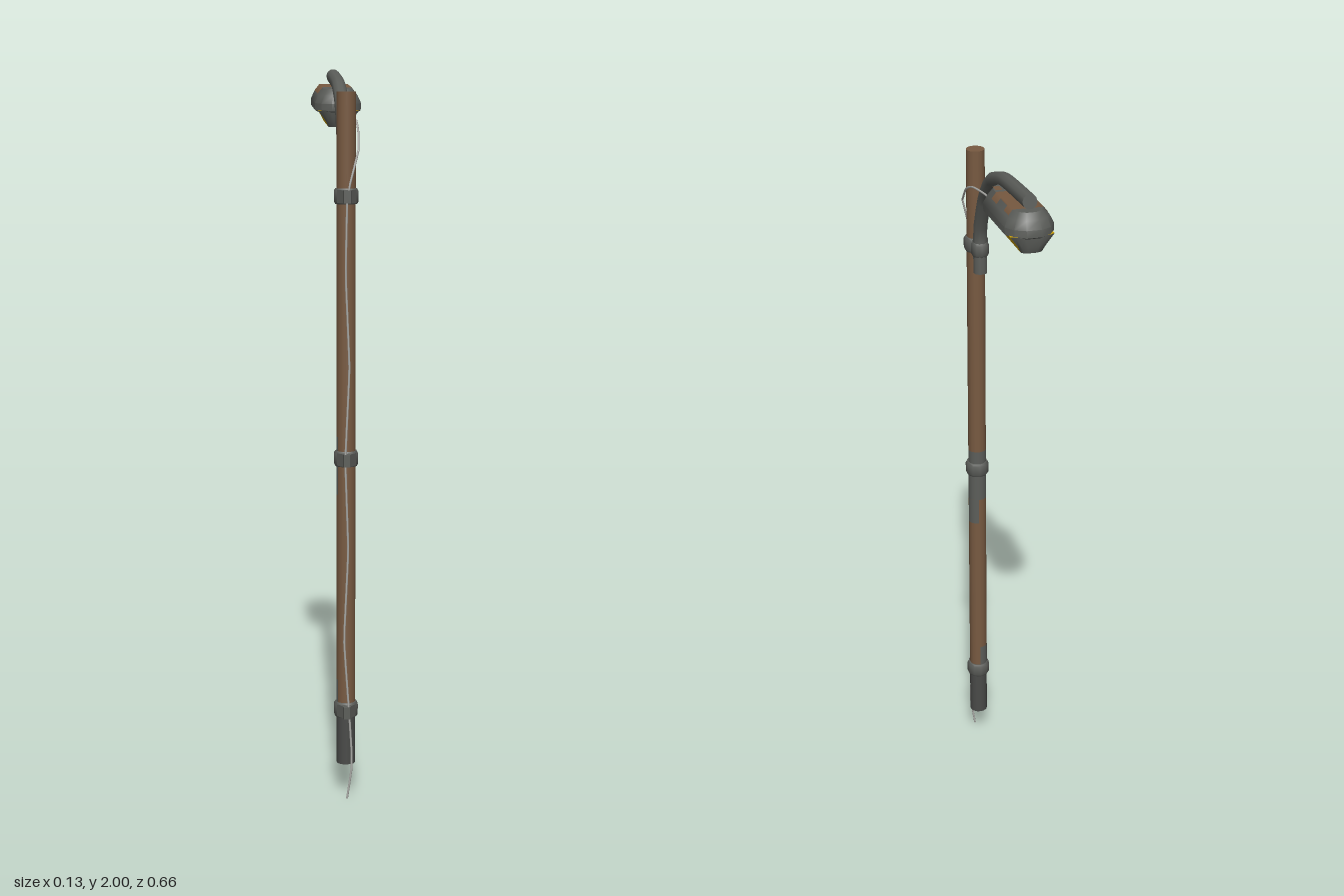
import * as THREE from 'three';
import { toCreasedNormals } from 'three/addons/utils/BufferGeometryUtils.js';

const mat = (name, color, side = THREE.FrontSide) => {
  const m = new THREE.MeshStandardMaterial({ color, side });
  m.name = name;
  return m;
};

export function createModel() {
  const root = new THREE.Group();
  root.name = 'streetLamp';
  const grey = mat('weathered grey metal', 0x5c5e5a);
  const rust = mat('rusty brown', 0x785a41, THREE.DoubleSide);
  const dark = mat('dark metal', 0x4a4b49);
  const yellow = mat('amber glass', 0xcfa305);
  const pale = mat('worn cable', 0xb0b0ac);

  const add = (parent, name, geo, material, x = 0, y = 0, z = 0) => {
    const m = new THREE.Mesh(geo, material);
    m.name = name;
    m.position.set(x, y, z);
    parent.add(m);
    return m;
  };
  const v = (x, y, z) => new THREE.Vector3(x, y, z);
  const POLE_Z = 0.272;

  // Pole: dark foot and rusted shaft
  [
    ['poleBase', 0.09, 0.245, dark],
    ['poleShaft', 0.245, 1.935, rust],
  ].forEach(([name, y0, y1, m]) =>
    add(root, name, new THREE.CylinderGeometry(0.026, 0.026, y1 - y0, 14), m, 0, (y0 + y1) / 2, POLE_Z));

  // Bare grey patches wrapped part way round the shaft
  [
    [0.25, 0.33, Math.PI, 2.1],
    [0.85, 1.01, Math.PI / 2, 3.7],
    [0.77, 0.85, Math.PI / 2, 1.5],
  ].forEach(([y0, y1, start, sweep]) =>
    add(root, 'barePatch', new THREE.CylinderGeometry(0.0266, 0.0266, y1 - y0, 10, 1, true, start, sweep),
      grey, 0, (y0 + y1) / 2, POLE_Z));

  // Bevelled clamps with a tapered cable lug at the back
  const collar = (r, sides) => toCreasedNormals(new THREE.LatheGeometry([
    [0, -0.021], [r - 0.004, -0.021], [r, -0.014], [r, 0.014], [r - 0.004, 0.021], [0, 0.021],
  ].map(([x, y]) => new THREE.Vector2(x, y)), sides), 0.9);
  const lug = new THREE.Shape([[-0.026, 0.02], [0.026, 0.02], [0.011, 0.042], [0.009, 0.055], [-0.009, 0.055], [-0.011, 0.042]]
    .map(([x, y]) => new THREE.Vector2(x, y)));
  const lugGeo = new THREE.ExtrudeGeometry(lug, { depth: 0.034, bevelEnabled: false })
    .translate(0, 0, -0.017).rotateX(Math.PI / 2);
  [0.245, 0.95, 1.66].forEach((y, i) => {
    const clamp = new THREE.Group();
    clamp.name = 'clamp' + (i + 1);
    clamp.position.set(0, y, POLE_Z);
    root.add(clamp);
    add(clamp, 'clampRing', collar(0.034, 10), grey);
    add(clamp, 'cableLug', lugGeo, grey);
    if (i === 2) {
      add(clamp, 'armRing', collar(0.025, 10), grey, 0, 0, -0.047);
      add(clamp, 'clampBridge', new THREE.BoxGeometry(0.036, 0.04, 0.03), grey, 0, 0, -0.032);
    }
  });

  // Curved arm with closed ends
  const armPath = new THREE.CatmullRomCurve3([
    v(0, 1.59, 0.222), v(0, 1.72, 0.222), v(0, 1.83, 0.168),
    v(0, 1.907, 0.092), v(0, 1.955, -0.046), v(0, 1.98, -0.285),
  ], false, 'catmullrom', 0.25);
  add(root, 'arm', new THREE.TubeGeometry(armPath, 16, 0.02, 10), grey);
  [[0, -1], [1, 1]].forEach(([t, dir]) => {
    const p = armPath.getPoint(t);
    const cap = add(root, 'armCap', new THREE.CircleGeometry(0.02, 10), grey, p.x, p.y, p.z);
    cap.lookAt(p.clone().addScaledVector(armPath.getTangent(t), dir));
  });

  // Loft of a rounded outline through levels of [y, half width, half length], top to bottom.
  // Group 0 holds the long sides and caps, group 1 the two ends.
  const loft = (corner, levels) => {
    const outline = [
      ...corner,
      ...corner.map(([x, z]) => [x, -z]).reverse(),
      ...corner.map(([x, z]) => [-x, -z]),
      ...corner.map(([x, z]) => [-x, z]).reverse(),
    ];
    const sides = [], ends = [];
    const n = outline.length, last = levels.length - 1;
    const ring = levels.map(([y, w, l]) => outline.map(([x, z]) => [x * w, y, z * l]));
    for (let j = 0; j < n; j++) {
      const k = (j + 1) % n;
      const wall = outline[j][1] * outline[k][1] > 0 ? ends : sides;
      for (let i = 0; i < last; i++) {
        const a = ring[i][j], b = ring[i][k], c = ring[i + 1][j], d = ring[i + 1][k];
        wall.push(...a, ...c, ...b, ...b, ...c, ...d);
      }
      sides.push(0, levels[0][0], 0, ...ring[0][j], ...ring[0][k]);
      sides.push(0, levels[last][0], 0, ...ring[last][k], ...ring[last][j]);
    }
    const g = new THREE.BufferGeometry();
    g.setAttribute('position', new THREE.Float32BufferAttribute([...sides, ...ends], 3));
    g.addGroup(0, sides.length / 3, 0);
    g.addGroup(sides.length / 3, ends.length / 3, 1);
    return toCreasedNormals(g, 0.7);
  };

  // Lamp head: grey housing, slanted amber lens with grey ends
  const head = new THREE.Group();
  head.name = 'lampHead';
  head.position.set(0, 1.9, -0.172);
  head.rotation.x = 0.06;
  root.add(head);
  add(head, 'housing', loft([[0.31, 1], [0.74, 0.9], [1, 0.7]], [
    [0.05, 0.041, 0.133], [0.032, 0.055, 0.146], [0.01, 0.065, 0.157], [-0.01, 0.064, 0.156], [-0.014, 0.058, 0.15],
  ]), [grey, grey]);
  add(head, 'lens', loft([[0.4, 1], [0.8, 0.97], [1, 0.92]], [
    [-0.008, 0.058, 0.15], [-0.038, 0.036, 0.146], [-0.055, 0.028, 0.138],
  ]), [yellow, grey]);

  // Rust patches that follow the top and shoulders of the housing
  const patch = (name, xs, z0, z1) => {
    const g = new THREE.PlaneGeometry(1, z1 - z0, xs.length - 1, 1).rotateX(-Math.PI / 2);
    const p = g.attributes.position;
    for (let i = 0; i < p.count; i++) {
      const x = xs[i % xs.length];
      p.setX(i, x);
      p.setY(i, 0.0515 - Math.max(0, Math.abs(x) - 0.041) * 1.286);
    }
    g.computeVertexNormals();
    add(head, name, g, rust, 0, 0, (z0 + z1) / 2);
  };
  patch('rustPatchRight', [-0.055, -0.041, 0], -0.1, 0.065);
  patch('rustPatchLeftBack', [0, 0.041, 0.052], -0.1, -0.055);
  patch('rustPatchLeftMiddle', [0, 0.041, 0.043], -0.055, 0.01);
  patch('rustPatchLeftFront', [0, 0.041, 0.054], 0.01, 0.06);
  patch('rustPatchSmall', [0.02, 0.038], 0.075, 0.11);

  // Cable hanging behind the pole, then swinging over to the lamp head
  const cable = (name, pts, segs) =>
    add(root, name, new THREE.TubeGeometry(
      new THREE.CatmullRomCurve3(pts, false, 'catmullrom', 0.15), segs, 0.003, 5), pale);
  cable('hangingCable', [
    v(0, 0, 0.32), v(0.014, 0.1, 0.32), v(0.006, 0.24, 0.32), v(-0.008, 0.45, 0.319),
    v(0.003, 0.7, 0.317), v(-0.005, 0.95, 0.32), v(0.006, 1.2, 0.316),
    v(-0.004, 1.45, 0.317), v(0, 1.66, 0.32), v(0.012, 1.71, 0.316), v(0.03, 1.78, 0.303),
  ], 40);
  cable('lampCable', [
    v(0.03, 1.78, 0.303), v(0.034, 1.832, 0.246), v(0.033, 1.862, 0.175),
    v(0.02, 1.868, 0.1), v(0.006, 1.868, -0.02), v(0, 1.87, -0.05),
  ], 16);

  return root;
}
